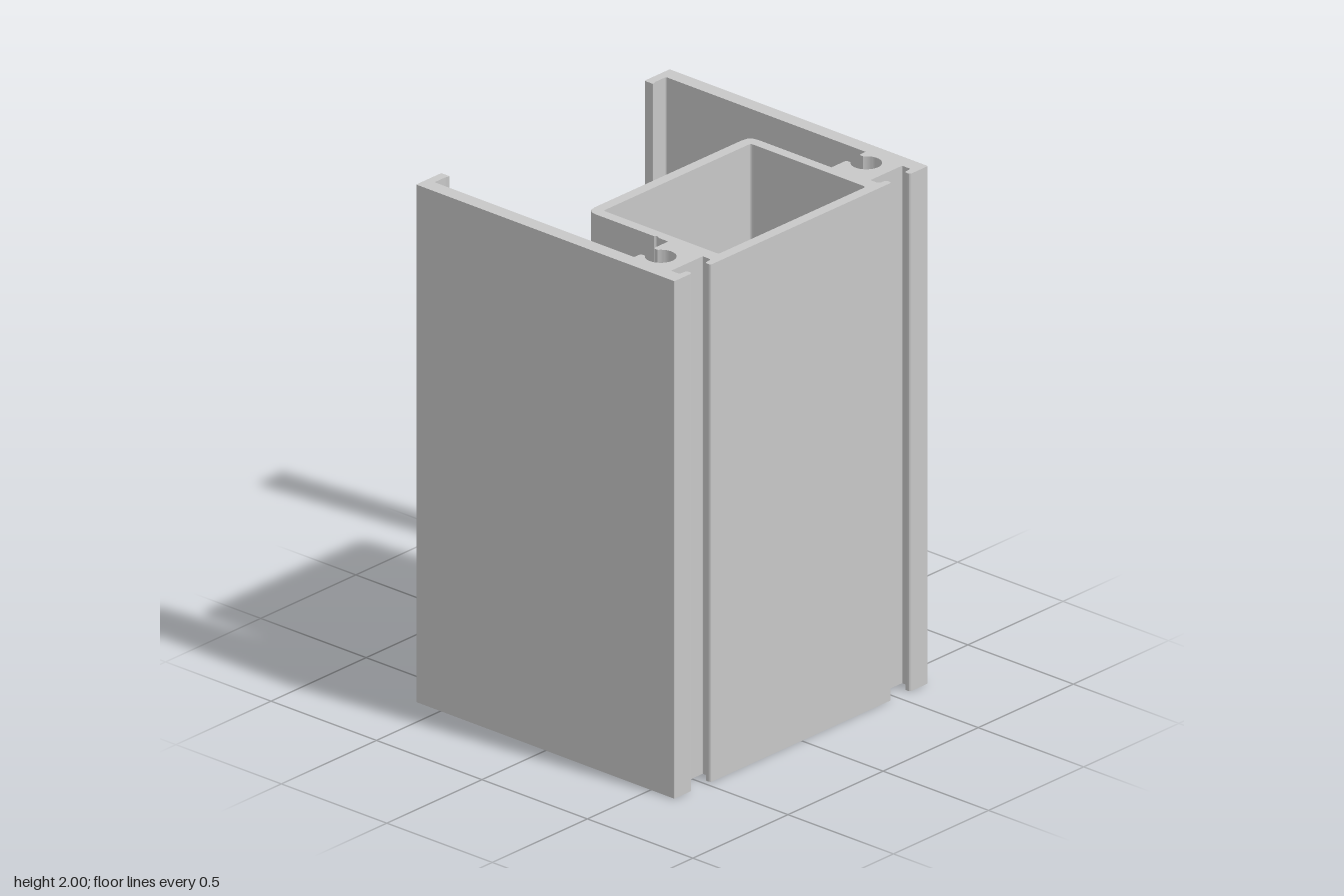
import * as THREE from 'three';
import { toCreasedNormals } from 'three/addons/utils/BufferGeometryUtils.js';

const HEIGHT = 2;

// Round the corners of a closed outline of [x, z, radius] points.
function roundCorners(points, steps = 3) {
  const out = [];
  points.forEach(([x, z, r], i) => {
    const p = new THREE.Vector2(x, z);
    if (!r) { out.push(p); return; }
    const toward = (q) => {
      const d = new THREE.Vector2(q[0], q[1]).sub(p);
      return p.clone().addScaledVector(d.normalize(), r);
    };
    const a = toward(points[(i + points.length - 1) % points.length]);
    const b = toward(points[(i + 1) % points.length]);
    out.push(...new THREE.QuadraticBezierCurve(a, p, b).getPoints(steps));
  });
  return out;
}

// The section leans very slightly; z is flipped because the extrusion is stood upright.
const place = (p) => new THREE.Vector2(
  p.x - 0.001 - 0.002 * p.y / 0.6,
  -(p.y + 0.002 * p.x / 0.66),
);

// Round screw channel, open towards the back.
function screwChannel() {
  const pts = [], n = 32, start = -2.207, end = -7.217;
  for (let i = 0; i <= n; i++) {
    const a = start + (end - start) * i / n;
    pts.push([0.5385 + 0.056 * Math.cos(a), 0.435 + 0.056 * Math.sin(a)]);
  }
  return pts;
}

// Half of the outer outline, from the back of the box tube round to the front.
function halfOutline() {
  return [
    // box tube
    [0.4275, -0.018, 0.042], [0.4275, 0.37],
    // screw channel and its two lips
    [0.505, 0.37, 0.01], ...screwChannel(), [0.572, 0.37, 0.01], [0.606, 0.37],
    // side wall and its back lip
    [0.606, -0.579, 0.006], [0.55, -0.579], [0.532, -0.573, 0.004],
    [0.532, -0.614, 0.004], [0.664, -0.614, 0.004], [0.664, 0.614, 0.004],
    // front slot with hooked edges
    [0.57, 0.614, 0.012], [0.57, 0.587, 0.012], [0.605, 0.585, 0.005],
    [0.605, 0.545, 0.004], [0.439, 0.545, 0.004], [0.439, 0.585, 0.012],
    [0.475, 0.587, 0.012], [0.475, 0.614, 0.012],
  ];
}

function createSection() {
  const left = halfOutline();
  const right = halfOutline().map(([x, z, r]) => [-x, z, r]);
  // small groove down one side of the tube
  right.splice(1, 0, [-0.4275, 0.303], [-0.421, 0.309], [-0.421, 0.319], [-0.4275, 0.325]);
  const shape = new THREE.Shape(roundCorners([...left, ...right.reverse()]).map(place));

  // hollow of the tube, wound against the outline so its walls face inwards
  const hollow = [
    [-0.386, 0.572, 0.012], [0.386, 0.572, 0.012],
    [0.386, 0.024, 0.012], [-0.386, 0.024, 0.012],
  ];
  shape.holes.push(new THREE.Path(roundCorners(hollow).map(place)));
  return shape;
}

export function createModel() {
  const model = new THREE.Group();
  model.name = 'extrudedFrameProfile';

  const aluminium = new THREE.MeshStandardMaterial({ color: 0xc8c8c8 });
  aluminium.name = 'aluminium grey';

  // the whole section pulled straight up
  const geometry = new THREE.ExtrudeGeometry(createSection(), {
    depth: HEIGHT, bevelEnabled: false, steps: 1,
  });
  geometry.rotateX(-Math.PI / 2);

  // only the screw channels are smooth; walls stay flat
  const profile = new THREE.Mesh(toCreasedNormals(geometry, 0.17), aluminium);
  profile.name = 'profile';
  model.add(profile);
  return model;
}
